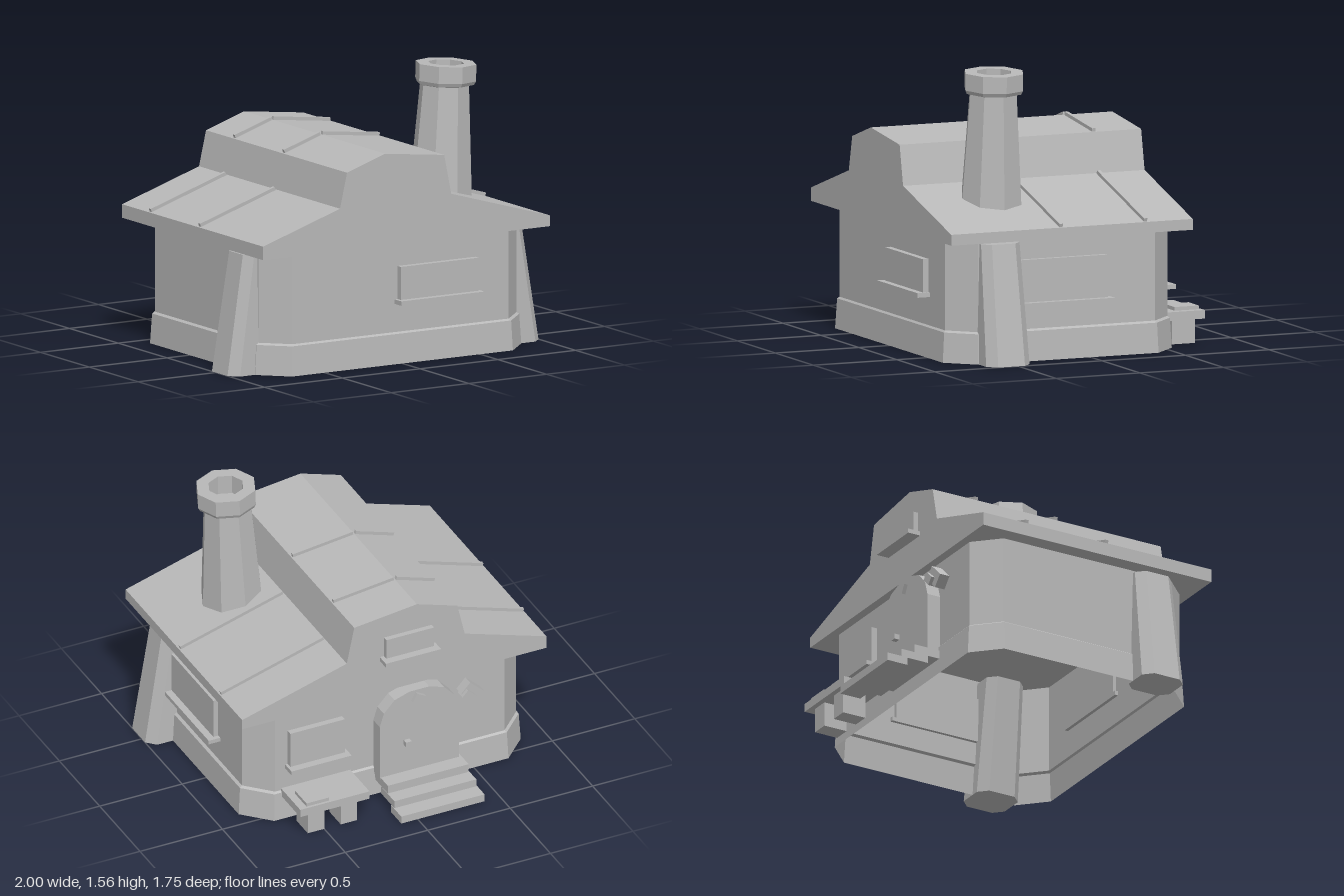
import * as THREE from 'three';

const stone = new THREE.MeshStandardMaterial({ color: 0xb8b8b8, flatShading: true, side: THREE.DoubleSide });
stone.name = 'plain grey';

function add(group, name, geometry) {
  const mesh = new THREE.Mesh(geometry, stone);
  mesh.name = name;
  group.add(mesh);
  return mesh;
}

// Box given by its limits on each axis
function block(group, name, x0, x1, y0, y1, z0, z1) {
  const mesh = add(group, name, new THREE.BoxGeometry(x1 - x0, y1 - y0, z1 - z0));
  mesh.position.set((x0 + x1) / 2, (y0 + y1) / 2, (z0 + z1) / 2);
  return mesh;
}

// Skin stacked closed rings of [x, y, z] points, with optional end caps
function loft(rings, capStart, capEnd) {
  const n = rings[0].length, index = [];
  for (let r = 0; r < rings.length - 1; r++) {
    for (let i = 0; i < n; i++) {
      const a = r * n + i, b = r * n + (i + 1) % n;
      index.push(a, a + n, b, b, a + n, b + n);
    }
  }
  const last = (rings.length - 1) * n;
  for (let i = 1; i < n - 1; i++) {
    if (capStart) index.push(0, i, i + 1);
    if (capEnd) index.push(last, last + i + 1, last + i);
  }
  const geo = new THREE.BufferGeometry();
  geo.setAttribute('position', new THREE.Float32BufferAttribute(rings.flat(2), 3));
  geo.setIndex(index);
  const flat = geo.toNonIndexed();
  flat.computeVertexNormals();
  return flat;
}

// Rectangle with cut corners, centred on (cx, cz)
function cutRect(cx, cz, hx, hz, c, y) {
  return [[hx, -hz + c], [hx, hz - c], [hx - c, hz], [-hx + c, hz],
    [-hx, hz - c], [-hx, -hz + c], [-hx + c, -hz], [hx - c, -hz]].map(([x, z]) => [cx + x, y, cz + z]);
}

function extrude(points, z0, z1) {
  const shape = new THREE.Shape(points.map(([x, y]) => new THREE.Vector2(x, y)));
  return new THREE.ExtrudeGeometry(shape, { depth: z1 - z0, bevelEnabled: false }).translate(0, 0, z0);
}

export function createModel() {
  const house = new THREE.Group();
  house.name = 'cottage';

  // Hollow walls with a flared plinth, open underneath
  add(house, 'walls', loft([
    cutRect(0, 0.135, 0.855, 0.685, 0.145, 0),
    cutRect(0, 0.135, 0.845, 0.675, 0.14, 0.165),
    cutRect(0, 0.135, 0.83, 0.665, 0.135, 0.175),
    cutRect(0, 0.135, 0.83, 0.665, 0.135, 0.68),
  ]));

  // Roof with a raised middle section
  const ridge = [[-0.925, 0.75], [-0.43, 0.91], [-0.385, 1.105], [-0.14, 1.185],
    [0.24, 1.14], [0.285, 0.92], [0.92, 0.735]];
  add(house, 'roof', extrude([[0.92, 0.675], ...ridge.slice().reverse(), [-0.925, 0.675]], -0.58, 0.865));

  // Thin battens across the shallow slopes
  for (const z of [0.205, -0.3]) {
    for (const i of [0, 2, 3, 5]) {
      const p = new THREE.Vector2(...ridge[i]), q = new THREE.Vector2(...ridge[i + 1]);
      const mid = p.clone().add(q).multiplyScalar(0.5), dir = q.clone().sub(p);
      const batten = add(house, 'roofBatten', new THREE.BoxGeometry(dir.length() - 0.015, 0.03, 0.02));
      batten.position.set(mid.x, mid.y + 0.004, z);
      batten.rotation.z = Math.atan2(dir.y, dir.x);
    }
  }

  // Leaning chimney with a collar and a hollow flue: [centre x, y, radius]
  const chimneyRings = [[0.485, 0.76, 0.18], [0.515, 1.435, 0.137], [0.52, 1.44, 0.16], [0.522, 1.46, 0.17],
    [0.525, 1.553, 0.17], [0.525, 1.553, 0.1], [0.522, 1.44, 0.1]].map(([cx, y, r], k) =>
    Array.from({ length: 8 }, (_, i) => {
      const a = i * Math.PI / 4, dx = r * Math.cos(a);
      return [cx + dx, y - (k ? 0.045 * dx : 0), 0.43 + r * Math.sin(a)];
    }));
  add(house, 'chimney', loft(chimneyRings, true, true));

  // Leaning buttresses on both sides
  for (const s of [1, -1]) {
    add(house, s > 0 ? 'leftButtress' : 'rightButtress', loft([
      cutRect(s * 0.88, 0.54, 0.12, 0.13, 0.05, 0),
      cutRect(s * 0.79, 0.54, 0.105, 0.115, 0.045, 0.66),
    ], true, true));
  }

  // Windows with sills
  block(house, 'frontWindow', -0.02, 0.48, 0.355, 0.54, 0.78, 0.835);
  block(house, 'frontSill', -0.04, 0.495, 0.332, 0.357, 0.78, 0.873);
  block(house, 'sideWindow', 0.81, 0.86, 0.325, 0.56, -0.1, 0.42);
  block(house, 'sideSill', 0.81, 0.9, 0.303, 0.326, -0.125, 0.445);
  block(house, 'backWindow', 0.29, 0.62, 0.33, 0.55, -0.565, -0.51);
  block(house, 'backSill', 0.27, 0.635, 0.31, 0.335, -0.61, -0.51);
  block(house, 'gableWindow', -0.23, 0.06, 0.9, 1.025, -0.61, -0.56);
  block(house, 'gableSill', -0.25, 0.085, 0.88, 0.905, -0.655, -0.56);

  // Arched back door
  add(house, 'door', extrude([[-0.38, 0.13], [0.1, 0.13], [0.1, 0.47], [0.075, 0.55], [0.01, 0.62],
    [-0.08, 0.65], [-0.2, 0.65], [-0.29, 0.62], [-0.355, 0.55], [-0.38, 0.47]], -0.61, -0.52));
  block(house, 'doorKnob', -0.08, -0.045, 0.315, 0.345, -0.64, -0.6);

  // Loose stones set around the arch: [x, y, z, width, height, turn]
  for (const [x, y, z, w, h, turn] of [[-0.13, 0.6, -0.602, 0.06, 0.055, 0.5],
    [-0.46, 0.54, -0.59, 0.12, 0.08, 0.75], [-0.43, 0.535, -0.61, 0.07, 0.05, 0.75]]) {
    const archStone = add(house, 'archStone', new THREE.BoxGeometry(w, h, 0.06));
    archStone.position.set(x, y, z);
    archStone.rotation.z = turn;
  }

  // Steps up to the door
  block(house, 'lowStep', -0.405, 0.1, 0, 0.045, -0.877, -0.75);
  block(house, 'middleStep', -0.4, 0.097, 0.045, 0.09, -0.785, -0.62);
  block(house, 'topStep', -0.395, 0.095, 0.09, 0.14, -0.7, -0.54);

  // Bench beside the door
  block(house, 'benchSeat', 0.24, 0.66, 0.14, 0.187, -0.77, -0.53);
  block(house, 'benchBoard', 0.48, 0.615, 0.187, 0.207, -0.755, -0.61);
  for (const x of [0.3, 0.5]) block(house, 'benchLeg', x, x + 0.1, 0, 0.14, -0.74, -0.6);

  return house;
}
